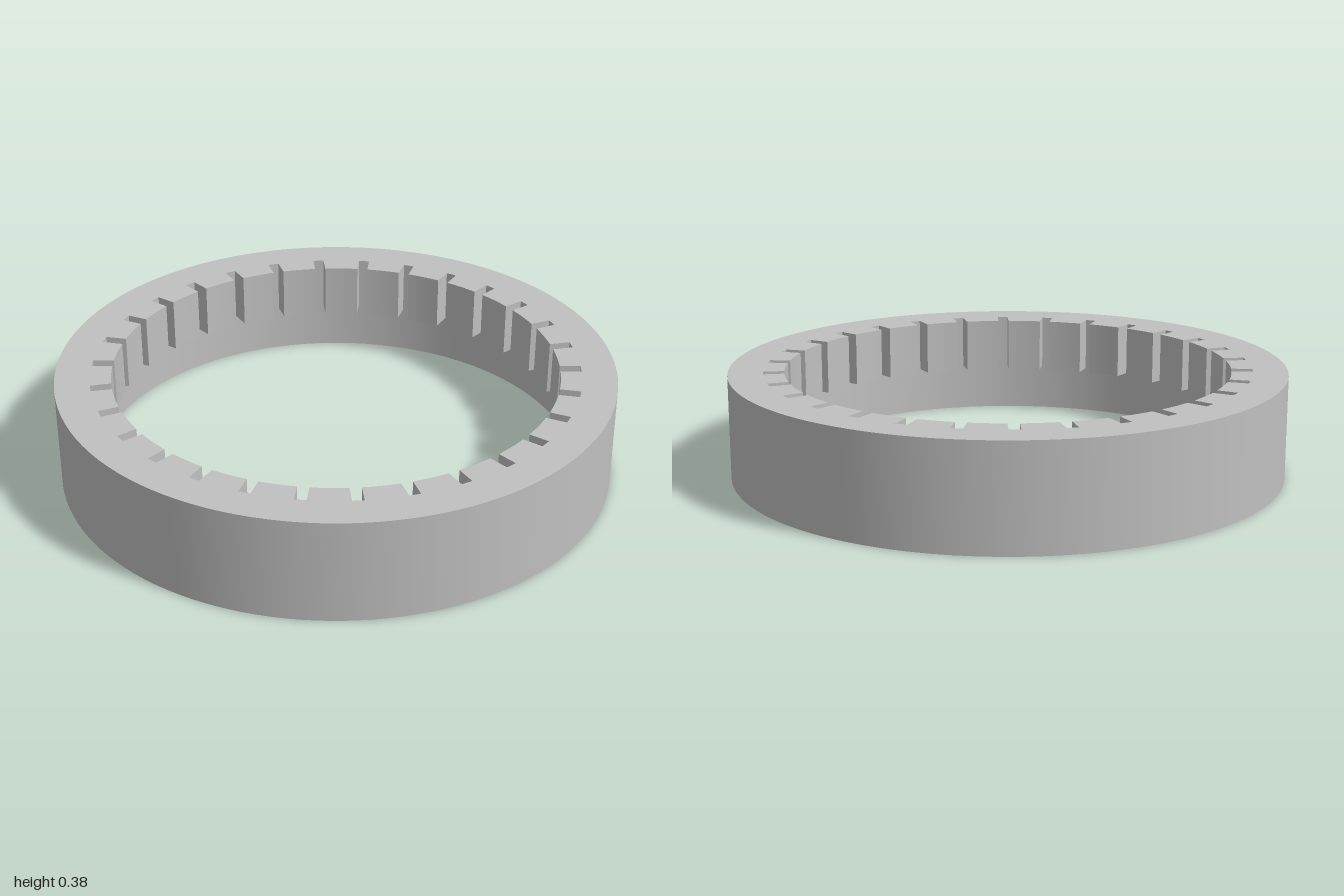
import * as THREE from 'three';
import { toCreasedNormals } from 'three/addons/utils/BufferGeometryUtils.js';

const OUTER = 1, BORE = 0.875, INNER = 0.8;
const HEIGHT = 0.375, LIP = 0.2;
const TEETH = 30, SLOT = 0.04;
const STEP = (Math.PI * 2) / TEETH;

export function createModel() {
  const model = new THREE.Group();
  model.name = 'slottedRing';

  const grey = new THREE.MeshStandardMaterial({ color: 0xc0c0c0 });
  grey.name = 'grey';

  // Plain outer ring with a rectangular section
  const profile = [
    [BORE, 0], [OUTER, 0], [OUTER, HEIGHT], [BORE, HEIGHT], [BORE, 0],
  ].map(([r, y]) => new THREE.Vector2(r, y));
  const ring = new THREE.Mesh(toCreasedNormals(new THREE.LatheGeometry(profile, 120), 0.5), grey);
  ring.name = 'outerRing';
  model.add(ring);

  // One tooth: a block between the straight sides of two neighbouring slots
  const end = Math.PI / 2;
  const start = end - STEP;
  const shape = new THREE.Shape();
  shape.absarc(0, 0, BORE, start, end - Math.asin(SLOT / BORE), false);
  shape.absarc(0, 0, INNER, end - Math.asin(SLOT / INNER), start, true);
  shape.closePath();
  const block = new THREE.ExtrudeGeometry(shape, { depth: LIP, bevelEnabled: false, curveSegments: 4 });
  block.rotateX(-Math.PI / 2);
  block.translate(0, HEIGHT - LIP, 0);
  const toothGeometry = toCreasedNormals(block, 0.5);

  // Teeth around the upper half of the bore
  const teeth = new THREE.Group();
  teeth.name = 'innerTeeth';
  for (let i = 0; i < TEETH; i++) {
    const tooth = new THREE.Mesh(toothGeometry, grey);
    tooth.name = 'tooth';
    tooth.rotation.y = i * STEP;
    teeth.add(tooth);
  }
  model.add(teeth);

  return model;
}
